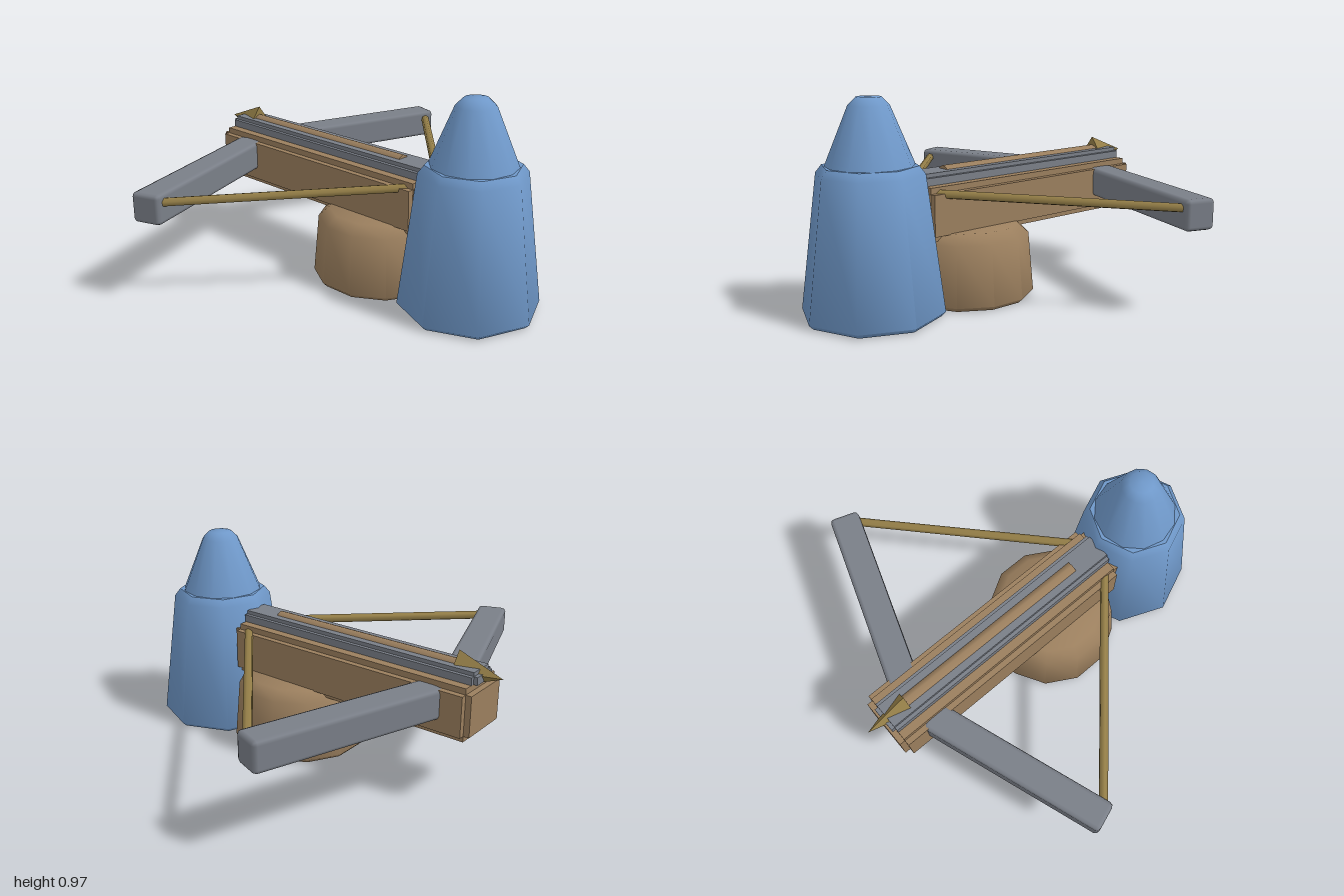
import * as THREE from 'three';
import { toCreasedNormals } from 'three/addons/utils/BufferGeometryUtils.js';
import { RoundedBoxGeometry } from 'three/addons/geometries/RoundedBoxGeometry.js';

const material = (name, color) => {
  const m = new THREE.MeshStandardMaterial({ color });
  m.name = name;
  return m;
};

export function createModel() {
  const model = new THREE.Group();
  model.name = 'crossbowTower';
  const blue = material('blue cloth', 0x6f98c9);
  const wood = material('brown wood', 0x9b7f5e);
  const steel = material('grey steel', 0x7a7f88);
  const gold = material('dull gold', 0x957f48);

  const add = (parent, name, geometry, mat, x = 0, y = 0, z = 0) => {
    const mesh = new THREE.Mesh(geometry, mat);
    mesh.name = name;
    mesh.position.set(x, y, z);
    parent.add(mesh);
    return mesh;
  };

  // Faceted turned solid from [radius, height] pairs, bottom to top
  const turned = (profile, sides, start = 0) => toCreasedNormals(
    new THREE.LatheGeometry(profile.map(([r, y]) => new THREE.Vector2(r, y)), sides, start), 0.9);

  // Beam whose edges are notched by a small step, made of three crossing boxes
  const steppedBeam = (name, mat, halfX, y0, y1, z0, z1, step) => {
    const group = new THREE.Group();
    group.name = name;
    const size = [2 * halfX, y1 - y0, z1 - z0];
    for (let axis = 0; axis < 3; axis++) {
      const s = size.map((v, i) => (i === axis ? v : v - 2 * step));
      add(group, name + 'Layer', new THREE.BoxGeometry(...s), mat, 0, (y0 + y1) / 2, (z0 + z1) / 2);
    }
    // fill the corners between pairs of layers
    for (let axis = 0; axis < 3; axis++) {
      const s = size.map((v, i) => (i === axis ? v - 2 * step : v - step));
      s[axis] += step;
      add(group, name + 'Core', new THREE.BoxGeometry(s[0] - step, s[1] - step, s[2] - step), mat,
        0, (y0 + y1) / 2, (z0 + z1) / 2);
    }
    model.add(group);
  };

  // Operator: robe and pointed head
  add(model, 'robe', turned([[0, 0], [0.305, 0], [0.325, 0.02], [0.243, 0.64], [0.215, 0.675], [0, 0.68]], 8),
    blue, 0, 0, 0.642);
  add(model, 'head', turned([[0, 0.62], [0.205, 0.65], [0.195, 0.68], [0.09, 0.935], [0.055, 0.97], [0, 0.972]], 12),
    blue, 0, 0, 0.642);

  // Round base
  add(model, 'base', turned([[0, 0], [0.31, 0], [0.33, 0.02], [0.305, 0.3], [0.255, 0.345], [0, 0.345]], 12, Math.PI / 12),
    wood, 0, 0, 0.12);

  // Stock and rail
  steppedBeam('stock', wood, 0.15, 0.313, 0.56, -0.893, 0.435, 0.028);
  steppedBeam('rail', steel, 0.08, 0.54, 0.613, -0.883, 0.43, 0.018);

  // Bolt lying on the rail
  const shaft = add(model, 'boltShaft', new THREE.CylinderGeometry(0.035, 0.035, 1.02, 8), wood, 0, 0.595, -0.265);
  shaft.rotation.x = Math.PI / 2;
  const tip = add(model, 'boltHead', new THREE.ConeGeometry(1, 0.213, 4).toNonIndexed(), gold, 0, 0.588, -0.862);
  tip.geometry.computeVertexNormals();
  tip.rotation.x = -Math.PI / 2;
  tip.scale.set(0.06, 1, 0.083);

  // Bow arms and strings, mirrored
  const up = new THREE.Vector3(0, 1, 0);
  for (const side of [1, -1]) {
    const label = side > 0 ? 'left' : 'right';
    const arm = add(model, label + 'BowArm', new RoundedBoxGeometry(0.92, 0.142, 0.142, 1, 0.02), steel,
      side * 0.533, 0.465, -0.553);
    arm.rotation.y = -side * 0.33;

    const outer = new THREE.Vector3(side * 0.92, 0.493, -0.375);
    const inner = new THREE.Vector3(side * 0.1, 0.528, 0.37);
    const along = inner.clone().sub(outer);
    const string = add(model, label + 'String', new THREE.CylinderGeometry(0.021, 0.021, along.length(), 6), gold);
    string.position.copy(outer).add(inner).multiplyScalar(0.5);
    string.quaternion.setFromUnitVectors(up, along.normalize());
  }
  return model;
}
